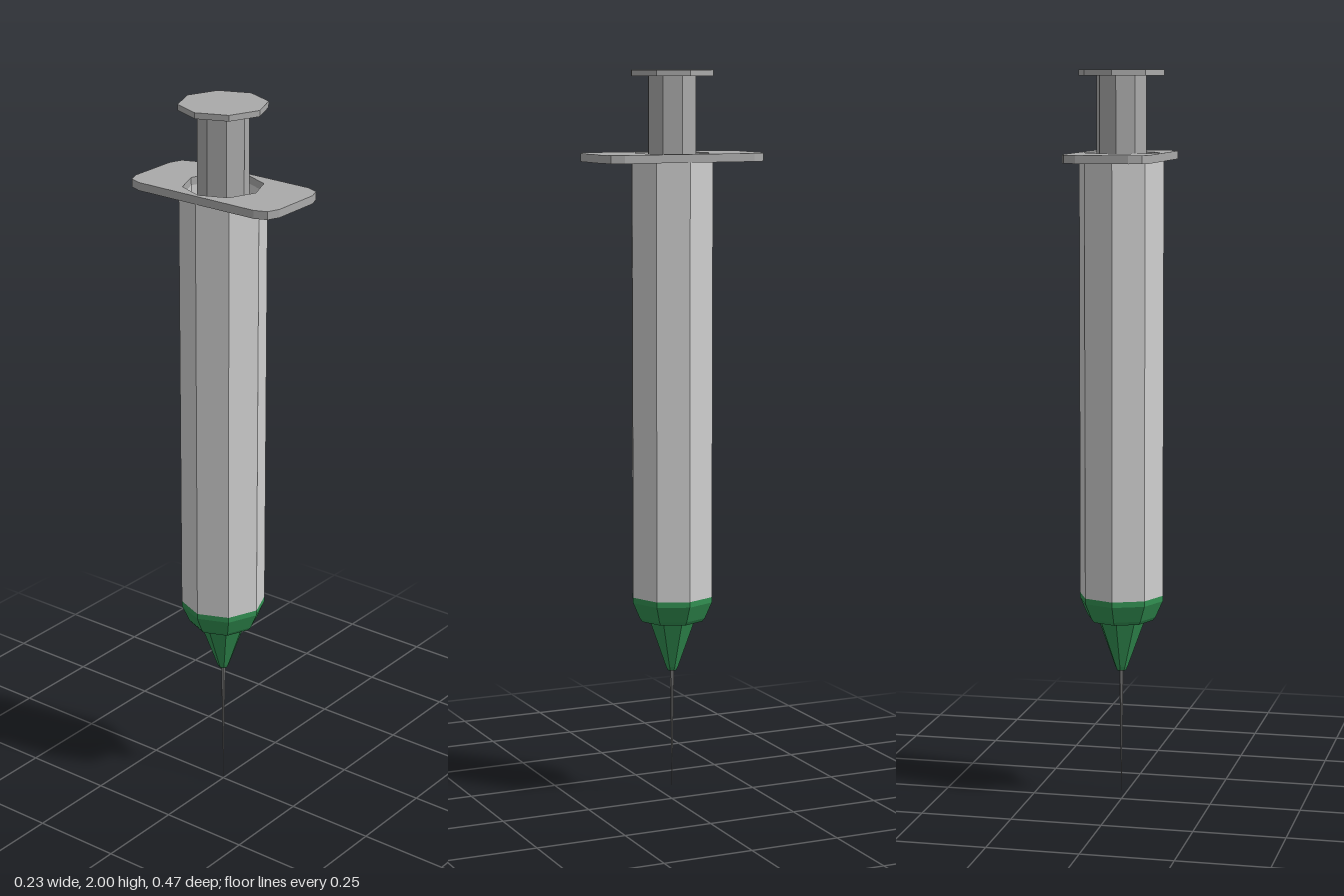
import * as THREE from 'three';

const SIDES = 8;

const barrelGrey = new THREE.MeshStandardMaterial({ color: 0xd0d0d0 });
barrelGrey.name = 'barrelGrey';
const plungerGrey = new THREE.MeshStandardMaterial({ color: 0xaaaaaa });
plungerGrey.name = 'plungerGrey';
const hubGreen = new THREE.MeshStandardMaterial({ color: 0x329052 });
hubGreen.name = 'hubGreen';
const needleGrey = new THREE.MeshStandardMaterial({ color: 0x8c8c8c });
needleGrey.name = 'needleGrey';

// Faceted mesh: unshared vertices give one normal per face
function part(name, geometry, material) {
  const flat = geometry.index ? geometry.toNonIndexed() : geometry;
  flat.computeVertexNormals();
  const mesh = new THREE.Mesh(flat, material);
  mesh.name = name;
  return mesh;
}

// Octagonal turned part from [radius, height] pairs, listed from the bottom up
function turned(name, profile, material) {
  const points = profile.map(([r, y]) => new THREE.Vector2(r, y));
  return part(name, new THREE.LatheGeometry(points, SIDES), material);
}

// Finger plate with chamfered corners and an octagonal opening
function fingerPlate() {
  const corner = [[0.117, 0.187], [0.104, 0.221], [0.07, 0.234]];
  const mirrored = [...corner].reverse();
  const outline = [
    ...corner,
    ...mirrored.map(([x, y]) => [-x, y]),
    ...corner.map(([x, y]) => [-x, -y]),
    ...mirrored.map(([x, y]) => [x, -y]),
  ];
  const shape = new THREE.Shape(outline.map(([x, y]) => new THREE.Vector2(x, y)));
  const hole = [];
  for (let i = 0; i < SIDES; i++) {
    const a = (i / SIDES) * Math.PI * 2;
    hole.push(new THREE.Vector2(Math.cos(a) * 0.106, Math.sin(a) * 0.106));
  }
  shape.holes.push(new THREE.Path(hole));
  const geometry = new THREE.ExtrudeGeometry(shape, { depth: 0.022, bevelEnabled: false });
  geometry.rotateX(-Math.PI / 2).translate(0, 1.759, 0);
  return part('fingerPlate', geometry, plungerGrey);
}

export function createModel() {
  const model = new THREE.Group();
  model.name = 'syringe';

  // Hollow barrel, open at the top
  model.add(turned('barrel', [
    [0.116, 0.58], [0.116, 1.76], [0.106, 1.76], [0.106, 0.6], [0, 0.6],
  ], barrelGrey));
  model.add(fingerPlate());

  // Plunger rod and thumb disc
  model.add(turned('plungerRod', [[0, 0.6], [0.068, 0.6], [0.068, 1.985]], plungerGrey));
  model.add(turned('thumbDisc', [
    [0, 1.984], [0.117, 1.984], [0.117, 2], [0, 2],
  ], plungerGrey));

  // Green collar and tapered nozzle
  model.add(turned('collar', [
    [0, 0.51], [0.088, 0.51], [0.096, 0.52], [0.116, 0.565], [0.116, 0.58], [0, 0.58],
  ], hubGreen));
  model.add(turned('nozzle', [
    [0, 0.367], [0.013, 0.367], [0.018, 0.378], [0.064, 0.505], [0.064, 0.515],
  ], hubGreen));

  // Needle tapering to a point
  model.add(turned('needle', [[0, 0], [0.006, 0.37]], needleGrey));

  return model;
}
